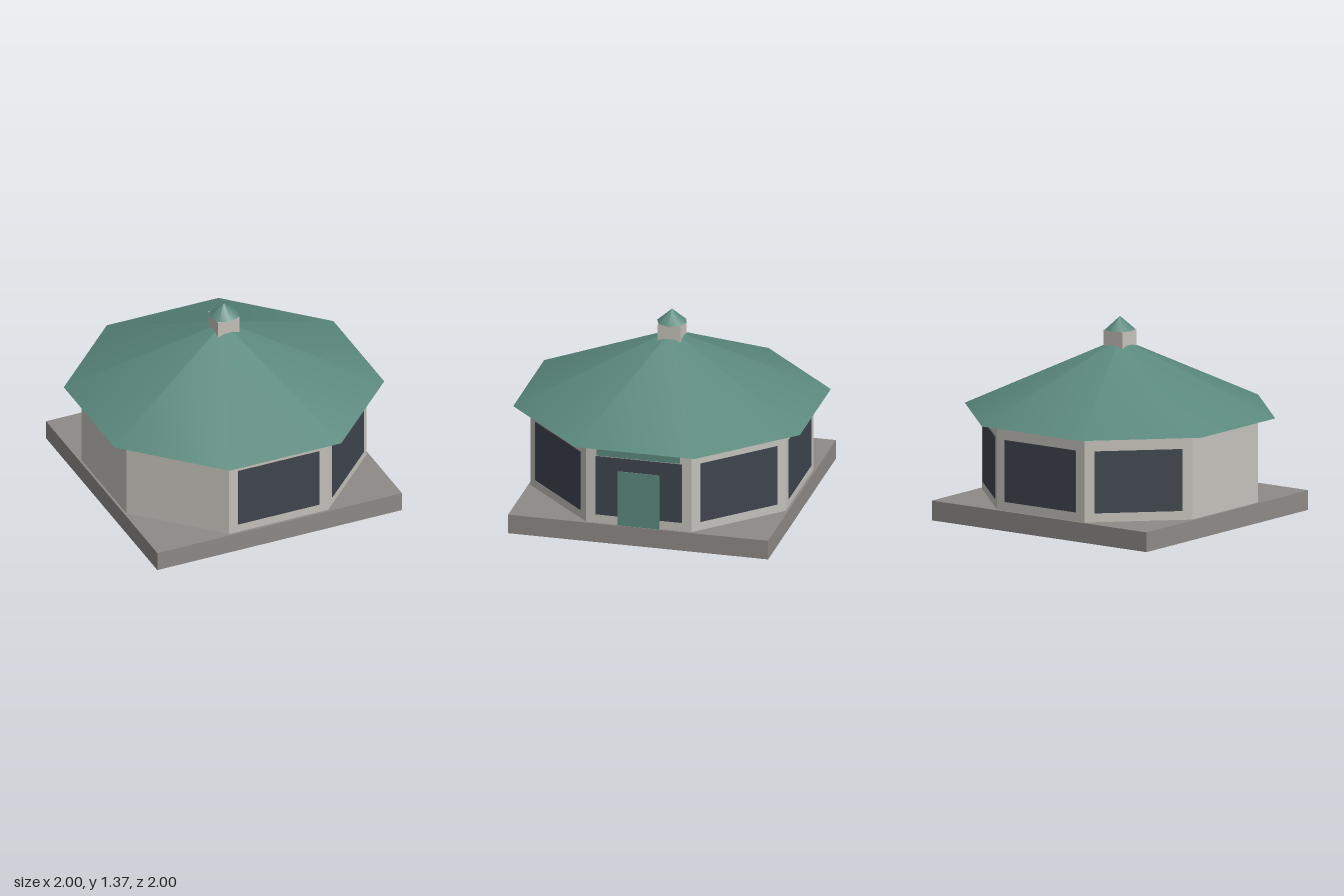
import * as THREE from 'three';

const mat = (name, color) => {
  const m = new THREE.MeshStandardMaterial({ color });
  m.name = name;
  return m;
};

export function createModel() {
  const model = new THREE.Group();
  model.name = 'octagonalPavilion';

  const wallPaint = mat('warm grey wall', 0xc4c1ba);
  const stone = mat('grey stone', 0x8e8a87);
  const glass = mat('dark glass', 0x3f454e);
  const green = mat('sage green', 0x5b897d);

  const add = (name, geometry, material, x, y, z, parent = model) => {
    const mesh = new THREE.Mesh(geometry, material);
    mesh.name = name;
    mesh.position.set(x, y, z);
    parent.add(mesh);
    return mesh;
  };

  // Eight-sided prism or cone; the inner radius (to the flats) is converted to the corner radius
  const toCorner = 1 / Math.cos(Math.PI / 8);
  const octagon = (top, bottom, height) =>
    new THREE.CylinderGeometry(top * toCorner, bottom * toCorner, height, 8, 1, false, Math.PI / 8);

  // Base slab
  add('plinth', new THREE.BoxGeometry(1.814, 0.136, 1.814), stone, 0, 0.068, 0);

  // Faceted octagonal walls
  const wallRadius = 0.89, wallBottom = 0.136, eaves = 0.72;
  const walls = octagon(wallRadius, wallRadius, eaves - wallBottom).toNonIndexed();
  walls.computeVertexNormals();
  add('walls', walls, wallPaint, 0, (wallBottom + eaves) / 2, 0);

  // Smooth-shaded roof with closed soffit
  add('roof', octagon(0, 1, 0.5), green, 0, eaves + 0.25, 0);

  // Windows on six faces; the left and front-left faces stay blank
  for (let i = 0; i < 6; i++) {
    const side = new THREE.Group();
    side.name = `windowSide${i + 1}`;
    side.rotation.y = (i * Math.PI) / 4;
    model.add(side);
    add('window', new THREE.BoxGeometry(0.6, 0.426, 0.009), glass, 0, 0.411, wallRadius + 0.0015, side);
  }

  // Entrance on the left (+x) side
  const entrance = new THREE.Group();
  entrance.name = 'entrance';
  entrance.rotation.y = Math.PI / 2;
  model.add(entrance);
  add('door', new THREE.BoxGeometry(0.29, 0.394, 0.02), green, 0, 0.333, wallRadius + 0.002, entrance);
  add('fasciaBoard', new THREE.BoxGeometry(0.576, 0.068, 0.024), green, 0, 0.67, wallRadius + 0.009, entrance);

  // Cupola on the apex
  add('cupola', new THREE.BoxGeometry(0.16, 0.18, 0.16), wallPaint, 0, 1.19, 0);
  add('cupolaRoof', new THREE.ConeGeometry(0.104, 0.092, 8), green, 0, 1.326, 0);

  // Turn so the windows run from the front, past the entrance, to the back
  const sides = model.children.filter((c) => c.name.startsWith('windowSide'));
  sides.forEach((side, i) => { side.rotation.y = (i * Math.PI) / 4; });

  return model;
}
